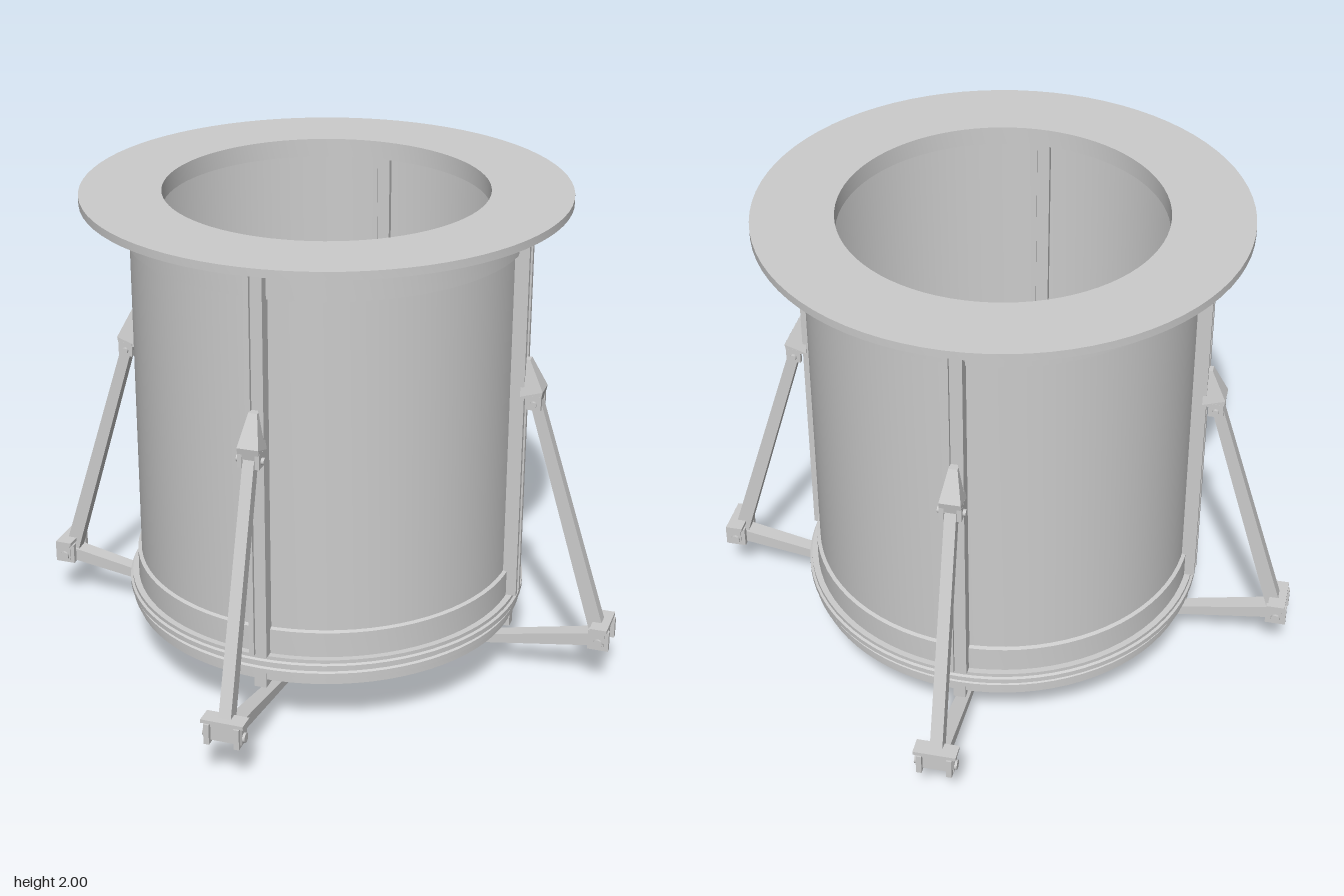
import * as THREE from 'three';
import { toCreasedNormals } from 'three/addons/utils/BufferGeometryUtils.js';

const mat = new THREE.MeshStandardMaterial({ color: 0xcccccc, side: THREE.DoubleSide });

function add(parent, name, geo, x = 0, y = 0, z = 0) {
  const mesh = new THREE.Mesh(geo, mat);
  mesh.name = name;
  mesh.position.set(x, y, z);
  parent.add(mesh);
  return mesh;
}

function lathe(points, segments = 80) {
  const pts = points.map(([r, y]) => new THREE.Vector2(r, y));
  return toCreasedNormals(new THREE.LatheGeometry(pts, segments), 0.5);
}

// Tapered bar in the xy plane; sizes are [in-plane height, width across]
function bar(parent, name, a, b, sizeA, sizeB) {
  const dx = b[0] - a[0], dy = b[1] - a[1], len = Math.hypot(dx, dy);
  const geo = new THREE.BoxGeometry(len, 1, 1);
  const p = geo.attributes.position;
  for (let i = 0; i < p.count; i++) {
    const s = p.getX(i) < 0 ? sizeA : sizeB;
    p.setY(i, p.getY(i) * s[0]);
    p.setZ(i, p.getZ(i) * s[1]);
  }
  geo.computeVertexNormals();
  const mesh = add(parent, name, geo, (a[0] + b[0]) / 2, (a[1] + b[1]) / 2);
  mesh.rotation.z = Math.atan2(dy, dx);
}

function pin(parent, name, r, len, x, y) {
  add(parent, name, new THREE.CylinderGeometry(r, r, len, 12).rotateX(Math.PI / 2), x, y);
}

// One folding leg with its rail, built along +x
function makeLeg() {
  const leg = new THREE.Group();
  leg.name = 'leg';

  // Channel rail on the drum wall
  add(leg, 'railBack', new THREE.BoxGeometry(0.09, 1.58, 0.05), 0.765, 1.145);
  for (const s of [-1, 1])
    add(leg, 'railLip', new THREE.BoxGeometry(0.11, 1.58, 0.02), 0.77, 1.145, s * 0.026);

  // Sliding carriage, narrow at the top
  const wedge = new THREE.Shape([[0.81, 1.24], [0.89, 1.22], [0.9, 1.27], [0.84, 1.39], [0.81, 1.39]]
    .map(([x, y]) => new THREE.Vector2(x, y)));
  const geo = new THREE.ExtrudeGeometry(wedge, { depth: 1, bevelEnabled: false }).translate(0, 0, -0.5);
  const p = geo.attributes.position;
  for (let i = 0; i < p.count; i++) p.setZ(i, p.getZ(i) * (p.getY(i) > 1.3 ? 0.035 : 0.085));
  geo.computeVertexNormals();
  add(leg, 'carriage', geo);
  for (const s of [-1, 1])
    add(leg, 'carriageLug', new THREE.BoxGeometry(0.06, 0.06, 0.018), 0.865, 1.22, s * 0.034);
  pin(leg, 'carriagePin', 0.014, 0.11, 0.865, 1.215);

  // Arms and hub link
  bar(leg, 'upperArm', [0.865, 1.23], [1.165, 0.24], [0.045, 0.045], [0.06, 0.05]);
  bar(leg, 'lowerArm', [1.17, 0.215], [0.11, 0.022], [0.055, 0.07], [0.018, 0.03]);
  bar(leg, 'hubLink', [0.03, 0.18], [0.11, 0.022], [0.018, 0.018], [0.014, 0.018]);
  pin(leg, 'tipPin', 0.012, 0.06, 0.11, 0.016);

  // Elbow hinge
  add(leg, 'elbowBlock', new THREE.BoxGeometry(0.05, 0.07, 0.15), 1.18, 0.235);
  add(leg, 'elbowCap', new THREE.BoxGeometry(0.07, 0.015, 0.17), 1.18, 0.28);
  for (const s of [-1, 1])
    add(leg, 'elbowCheek', new THREE.BoxGeometry(0.085, 0.085, 0.022), 1.18, 0.23, s * 0.06);
  pin(leg, 'elbowPin', 0.02, 0.17, 1.18, 0.22);

  // Rib under the floor
  add(leg, 'floorRib', new THREE.BoxGeometry(0.68, 0.07, 0.05), 0.46, 0.24);
  return leg;
}

// Upright block from an outline, slightly narrower at its top
function taperedBlock(shape, cx, cy, height) {
  const geo = new THREE.ExtrudeGeometry(shape, { depth: height, bevelEnabled: false, curveSegments: 8 });
  const p = geo.attributes.position;
  for (let i = 0; i < p.count; i++) {
    const k = p.getZ(i) > height / 2 ? 0.87 : 1.08;
    p.setXY(i, cx + (p.getX(i) - cx) * k, cy + (p.getY(i) - cy) * k);
  }
  geo.rotateX(-Math.PI / 2);
  return toCreasedNormals(geo, 0.5);
}

// Block cluster around a ball, standing on the drum floor
function makePayload() {
  const payload = new THREE.Group();
  payload.name = 'payload';
  const a = Math.acos(0.135 / 0.24);
  const corner = new THREE.Shape();
  corner.moveTo(0.198, 0.135);
  corner.lineTo(0.345, 0.135);
  corner.lineTo(0.345, 0.345);
  corner.lineTo(0.135, 0.345);
  corner.lineTo(0.135, 0.198);
  corner.absarc(0, 0, 0.24, a, Math.PI / 2 - a, true);

  const b = Math.asin(0.07 / 0.23);
  const side = new THREE.Shape();
  side.moveTo(0.219, -0.07);
  side.lineTo(0.3, -0.07);
  side.lineTo(0.3, 0.07);
  side.lineTo(0.219, 0.07);
  side.absarc(0, 0, 0.23, b, -b, true);

  const cornerGeo = taperedBlock(corner, 0.25, 0.25, 0.22);
  const sideGeo = taperedBlock(side, 0.26, 0, 0.14);
  for (let i = 0; i < 4; i++) {
    const quarter = new THREE.Group();
    quarter.name = 'payloadQuarter';
    quarter.rotation.y = i * Math.PI / 2;
    add(quarter, 'cornerBlock', cornerGeo, 0, 0.28, 0);
    add(quarter, 'sideBlock', sideGeo, 0, 0.28, 0);
    add(quarter, 'spoke', new THREE.BoxGeometry(0.16, 0.02, 0.02), 0.17, 0.35, 0);
    add(quarter, 'edgeBeam', new THREE.BoxGeometry(0.02, 0.03, 0.64), 0.32, 0.285, 0);
    payload.add(quarter);
  }
  add(payload, 'ball', new THREE.SphereGeometry(0.135, 32, 20), 0, 0.4, 0);
  payload.position.set(0.135, 0, 0.08);
  payload.rotation.y = 0.447;
  return payload;
}

export function createModel() {
  const model = new THREE.Group();
  model.name = 'drumLander';

  // Drum shell: floor, stepped base rings, wall with bands, inner wall
  add(model, 'drum', lathe([
    [0, 0.23], [0.77, 0.23], [0.795, 0.24], [0.795, 0.27], [0.81, 0.275], [0.81, 0.295],
    [0.8, 0.3], [0.8, 0.31], [0.82, 0.315], [0.82, 0.335], [0.81, 0.34], [0.81, 0.355],
    [0.785, 0.355], [0.785, 0.46], [0.77, 0.465], [0.77, 1.815], [0.785, 1.82], [0.785, 1.94],
    [0.745, 1.94], [0.745, 0.27], [0, 0.27]]));

  // Top flange with a stepped underside
  add(model, 'topFlange', lathe([
    [0.64, 1.925], [0.785, 1.925], [0.82, 1.935], [0.82, 1.945], [0.85, 1.945], [0.86, 1.958],
    [0.96, 1.968], [0.96, 2], [0.64, 2], [0.64, 1.925]]));

  // Hub under the floor
  add(model, 'hubPlate', lathe([[0, 0.205], [0.23, 0.205], [0.23, 0.275], [0, 0.275]], 48));
  add(model, 'hubCone', lathe([[0, 0.17], [0.08, 0.17], [0.115, 0.2], [0.115, 0.21]], 48));

  // Four legs on the diagonals
  for (let i = 0; i < 4; i++) {
    const leg = makeLeg();
    leg.rotation.y = Math.PI / 4 + i * Math.PI / 2;
    model.add(leg);
  }

  model.add(makePayload());
  return model;
}
